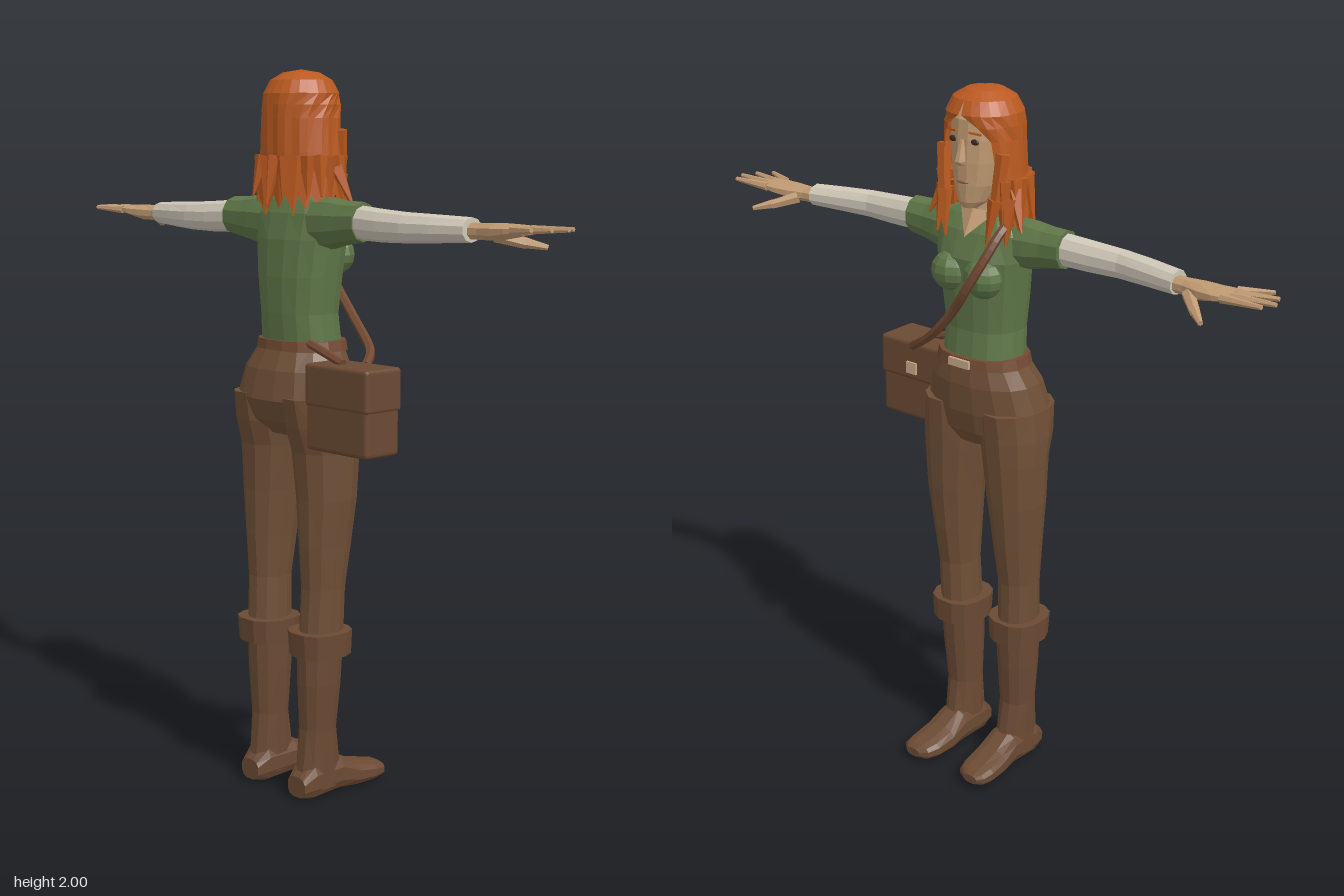
import * as THREE from 'three';
import { RoundedBoxGeometry } from 'three/addons/geometries/RoundedBoxGeometry.js';

const mat = (name, color, side = THREE.FrontSide) =>
  new THREE.MeshStandardMaterial({ name, color, side, flatShading: true });

// Closed loft: rows are [t, a0, a1, b0, b1], the extents of an ellipse at t along the axis.
function loft(axis, rows, n = 12, power = 1) {
  const place = { x: (t, a, b) => [t, a, b], y: (t, a, b) => [a, t, b], z: (t, a, b) => [a, b, t] }[axis];
  const pos = [], idx = [];
  const bend = v => Math.sign(v) * Math.abs(v) ** power;
  for (const [t, a0, a1, b0, b1] of rows)
    for (let i = 0; i < n; i++) {
      const u = (i + 0.5) / n * Math.PI * 2;
      pos.push(...place(t, (a0 + a1) / 2 + bend(Math.sin(u)) * (a1 - a0) / 2, (b0 + b1) / 2 + bend(Math.cos(u)) * (b1 - b0) / 2));
    }
  for (let r = 0; r < rows.length - 1; r++)
    for (let i = 0; i < n; i++) {
      const j = (i + 1) % n, p = r * n, q = p + n;
      idx.push(p + i, p + j, q + i, p + j, q + j, q + i);
    }
  const last = (rows.length - 1) * n;
  for (let i = 1; i < n - 1; i++) idx.push(0, i + 1, i, last, last + i, last + i + 1);
  // Turn the faces outward whichever way the loft runs
  const v = k => new THREE.Vector3().fromArray(pos, idx[k] * 3);
  let volume = 0;
  for (let k = 0; k < idx.length; k += 3) volume += v(k).dot(v(k + 1).cross(v(k + 2)));
  if (volume < 0) idx.reverse();
  const g = new THREE.BufferGeometry();
  g.setAttribute('position', new THREE.Float32BufferAttribute(pos, 3));
  g.setIndex(idx);
  g.computeVertexNormals();
  return g;
}

// Tapered stick between two points
function stick(a, b, r0, r1, sides = 6) {
  const p = new THREE.Vector3(...a), d = new THREE.Vector3(...b).sub(p);
  const g = new THREE.CylinderGeometry(r1, r0, d.length(), sides);
  g.translate(0, d.length() / 2, 0);
  g.applyQuaternion(new THREE.Quaternion().setFromUnitVectors(new THREE.Vector3(0, 1, 0), d.normalize()));
  return g.translate(p.x, p.y, p.z);
}

// Hair shell: rows are [y, rx, rz, half angle of the face opening]
function hairShell() {
  const rows = [[1.998, 0.002, 0.002, 0], [1.99, 0.05, 0.05, 0], [1.97, 0.085, 0.083, 0], [1.935, 0.103, 0.102, 0.05],
    [1.905, 0.108, 0.106, 0.5], [1.87, 0.11, 0.106, 0.82], [1.78, 0.117, 0.106, 0.92], [1.72, 0.124, 0.103, 1.05], [1.67, 0.13, 0.103, 1.2]];
  const n = 24, pos = [], idx = [];
  rows.forEach(([y, rx, rz, open], r) => {
    for (let i = 0; i <= n; i++) {
      const u = open + (2 * Math.PI - 2 * open) * i / n;
      const hem = r === rows.length - 1 && i % 2 ? -0.04 : 0;
      const wave = r > 3 && i % 3 === 0 ? 0.96 : 1;
      pos.push(Math.sin(u) * rx * wave, y + hem, -0.028 + Math.cos(u) * rz * wave);
    }
  });
  for (let r = 0; r < rows.length - 1; r++)
    for (let i = 0; i < n; i++) {
      const p = r * (n + 1) + i, q = p + n + 1;
      idx.push(p, q, p + 1, p + 1, q, q + 1);
    }
  const g = new THREE.BufferGeometry();
  g.setAttribute('position', new THREE.Float32BufferAttribute(pos, 3));
  g.setIndex(idx);
  g.computeVertexNormals();
  return g;
}

export function createModel() {
  const model = new THREE.Group();
  const figure = new THREE.Group();
  figure.name = 'figure';
  figure.rotation.y = Math.PI / 2; // the figure looks along +x
  model.add(figure);

  const skin = mat('skin', 0xc09a72, THREE.DoubleSide), hair = mat('hair', 0xb9591f, THREE.DoubleSide);
  const shirt = mat('green shirt', 0x5f7748), linen = mat('linen sleeve', 0xcfc8b8);
  const trouser = mat('brown trousers', 0x6f4f36), leather = mat('boot leather', 0x6b4a33);
  const belt = mat('belt leather', 0x734a32), metal = mat('pale buckle', 0xc9a988);
  const dark = mat('dark eye', 0x3a2a20), lip = mat('lip', 0xa0705a);
  const add = (name, geometry, material) => {
    const m = new THREE.Mesh(geometry, material);
    m.name = name;
    figure.add(m);
    return m;
  };

  // Torso and neck
  add('torso', loft('y', [[1.26, -0.118, 0.118, -0.118, 0.065], [1.35, -0.113, 0.113, -0.125, 0.055], [1.45, -0.125, 0.125, -0.128, 0.062],
    [1.55, -0.138, 0.138, -0.122, 0.068], [1.62, -0.145, 0.145, -0.108, 0.042], [1.655, -0.115, 0.115, -0.092, 0.015], [1.675, -0.06, 0.06, -0.08, 0]], 16, 0.85), shirt);
  add('neck', loft('y', [[1.6, -0.055, 0.055, -0.075, 0.02], [1.68, -0.042, 0.042, -0.068, 0.018], [1.75, -0.04, 0.04, -0.07, 0.02]], 10), skin);
  const neckline = new THREE.BufferGeometry();
  neckline.setAttribute('position', new THREE.Float32BufferAttribute([-0.06, 1.675, 0, 0, 1.61, 0.058, 0, 1.68, 0.022, 0.06, 1.675, 0], 3));
  neckline.setIndex([0, 1, 2, 2, 1, 3]);
  neckline.computeVertexNormals();
  add('neckline', neckline, skin);

  // Hips, belt and buckle
  add('hips', loft('y', [[1.265, -0.125, 0.125, -0.125, 0.072], [1.2, -0.163, 0.163, -0.158, 0.08], [1.12, -0.185, 0.185, -0.175, 0.075],
    [1.06, -0.17, 0.17, -0.15, 0.062], [1.02, -0.09, 0.09, -0.11, 0.04]], 16, 0.9), trouser);
  add('belt', loft('y', [[1.25, -0.138, 0.138, -0.132, 0.08], [1.278, -0.132, 0.132, -0.128, 0.076]], 16, 0.9), belt);
  add('beltBuckle', new THREE.BoxGeometry(0.07, 0.022, 0.009).translate(0, 1.264, 0.081), metal);

  for (const s of [-1, 1]) {
    const side = s < 0 ? 'right' : 'left';
    const upright = rows => rows.map(([t, a, b, c, d]) => [t, a * s, b * s, c, d]);
    const sideways = rows => rows.map(([t, ...rest]) => [t * s, ...rest]);
    const at = (x, y, z) => [x * s, y, z];

    // Bust
    add(side + 'Bust', new THREE.SphereGeometry(1, 10, 8).scale(0.058, 0.055, 0.05).translate(0.056 * s, 1.505, 0.045), shirt);

    // Leg and boot
    add(side + 'Leg', loft('y', upright([[1.13, 0.01, 0.186, -0.17, 0.074], [1.05, 0.008, 0.194, -0.155, 0.068], [0.98, 0.016, 0.193, -0.132, 0.062],
      [0.85, 0.032, 0.188, -0.124, 0.052], [0.72, 0.045, 0.175, -0.12, 0.036], [0.6, 0.054, 0.166, -0.113, 0.016], [0.46, 0.052, 0.162, -0.12, 0.014]]), 12), trouser);
    add(side + 'BootShaft', loft('y', upright([[0.45, 0.042, 0.164, -0.122, 0.014], [0.33, 0.045, 0.16, -0.12, 0.006], [0.2, 0.05, 0.15, -0.113, -0.006],
      [0.1, 0.05, 0.148, -0.125, 0.012], [0.03, 0.05, 0.148, -0.134, 0.02]]), 12), leather);
    add(side + 'BootCuff', loft('y', upright([[0.412, 0.03, 0.182, -0.138, 0.028], [0.48, 0.026, 0.186, -0.143, 0.03]]), 12, 0.8), leather);
    add(side + 'Foot', loft('z', upright([[-0.138, 0.062, 0.135, 0.01, 0.07], [-0.1, 0.05, 0.147, 0, 0.11], [0, 0.046, 0.148, 0.006, 0.11],
      [0.06, 0.044, 0.155, 0.003, 0.078], [0.12, 0.048, 0.158, 0.006, 0.063], [0.155, 0.06, 0.152, 0.012, 0.055], [0.17, 0.085, 0.135, 0.02, 0.045]]), 12, 0.75), leather);

    // Arm
    add(side + 'ShirtSleeve', loft('x', sideways([[0.08, 1.52, 1.665, -0.1, 0.02], [0.15, 1.528, 1.664, -0.098, 0.012], [0.2, 1.54, 1.657, -0.094, 0.004],
      [0.26, 1.55, 1.655, -0.092, 0.002]]), 10), shirt);
    add(side + 'LinenSleeve', loft('x', sideways([[0.24, 1.556, 1.647, -0.086, -0.008], [0.34, 1.554, 1.64, -0.092, -0.016], [0.43, 1.556, 1.635, -0.092, -0.022],
      [0.52, 1.56, 1.632, -0.08, -0.006], [0.62, 1.565, 1.628, -0.06, 0.013]]), 10), linen);

    // Hand
    add(side + 'Palm', loft('x', sideways([[0.6, 1.572, 1.616, -0.045, 0.004], [0.65, 1.572, 1.616, -0.043, 0.008], [0.7, 1.572, 1.618, -0.053, 0.026],
      [0.75, 1.582, 1.616, -0.06, 0.035], [0.79, 1.59, 1.614, -0.058, 0.034]]), 8), skin);
    [[-0.05, -0.082, 0.86], [-0.026, -0.046, 0.893], [-0.001, -0.004, 0.91], [0.024, 0.034, 0.893]].forEach(([z0, z1, tip], i) => {
      add(side + 'Finger' + (i + 1), stick(at(0.775, 1.602, z0), at(tip, 1.607, z1), 0.0125, 0.006), skin);
    });
    add(side + 'ThumbBase', stick(at(0.67, 1.585, 0.005), at(0.725, 1.565, 0.058), 0.018, 0.014), skin);
    add(side + 'ThumbTip', stick(at(0.722, 1.567, 0.055), at(0.765, 1.555, 0.094), 0.014, 0.007), skin);

    // Eye and brow
    add(side + 'Eye', new THREE.SphereGeometry(1, 8, 6).scale(0.014, 0.008, 0.005).translate(0.036 * s, 1.867, 0.057), dark);
    const brow = add(side + 'Brow', new THREE.BoxGeometry(0.034, 0.005, 0.006), hair);
    brow.position.set(0.037 * s, 1.889, 0.057);
    brow.rotation.set(0, 0.35 * s, -0.12 * s);
  }

  // Head and face
  add('head', loft('y', [[1.688, -0.022, 0.022, 0.005, 0.055], [1.705, -0.042, 0.042, -0.04, 0.063], [1.75, -0.066, 0.066, -0.08, 0.066],
    [1.81, -0.08, 0.08, -0.105, 0.067], [1.87, -0.086, 0.086, -0.115, 0.065], [1.92, -0.083, 0.083, -0.11, 0.06], [1.97, -0.045, 0.045, -0.07, 0.02]], 16), skin);
  add('nose', loft('y', [[1.803, -0.013, 0.013, 0.05, 0.074], [1.815, -0.014, 0.014, 0.05, 0.088], [1.87, -0.006, 0.006, 0.05, 0.07]], 6), skin);
  add('mouth', new THREE.SphereGeometry(1, 8, 6).scale(0.021, 0.006, 0.005).translate(0, 1.76, 0.064), lip);

  // Hair shell with loose locks around the hem
  add('hair', hairShell(), hair);
  for (let i = 0; i < 15; i++) {
    const u = 1.05 + (2 * Math.PI - 2.1) * i / 14, sx = Math.sin(u), cz = Math.cos(u);
    const out = 0.118 + 0.022 * (i % 2), tip = 1.615 + 0.025 * (i % 3);
    add('hairLock' + i, stick([sx * 0.115, 1.77, -0.028 + cz * 0.094], [sx * out, tip, -0.028 + cz * (out - 0.015)], 0.024, 0.003, 5), hair);
  }
  for (const s of [-1, 1]) {
    add('frontLock', stick([0.1 * s, 1.84, 0.02], [0.088 * s, 1.7, 0.035], 0.02, 0.016, 5), hair);
    add('frontLockTip', stick([0.088 * s, 1.72, 0.035], [0.07 * s, 1.6, 0.052], 0.022, 0.003, 5), hair);
    add('sideCurl', stick([0.115 * s, 1.74, -0.01], [0.158 * s, 1.64, 0.015], 0.024, 0.003, 5), hair);
    add('sideLock', stick([0.11 * s, 1.72, 0.005], [0.118 * s, 1.6, 0.03], 0.026, 0.003, 5), hair);
  }

  // Shoulder bag, flap, clasp and strap
  add('bag', new RoundedBoxGeometry(0.23, 0.225, 0.122, 2, 0.012).translate(-0.262, 1.112, -0.086), leather);
  add('bagFlap', new RoundedBoxGeometry(0.236, 0.115, 0.13, 2, 0.01).translate(-0.262, 1.175, -0.085), leather);
  add('bagClasp', new THREE.BoxGeometry(0.036, 0.034, 0.009).translate(-0.262, 1.156, -0.018), metal);
  const path = new THREE.CatmullRomCurve3([[-0.265, 1.225, -0.04], [-0.2, 1.255, 0.04], [-0.085, 1.33, 0.09], [0, 1.42, 0.1],
    [0.05, 1.49, 0.108], [0.09, 1.57, 0.085], [0.108, 1.64, 0.035], [0.1, 1.668, -0.04]].map(p => new THREE.Vector3(...p)));
  add('bagStrap', new THREE.TubeGeometry(path, 32, 0.013, 6), belt);
  add('rearStrap', stick([-0.24, 1.235, -0.1], [-0.1, 1.275, -0.09], 0.012, 0.012), belt);

  return model;
}
